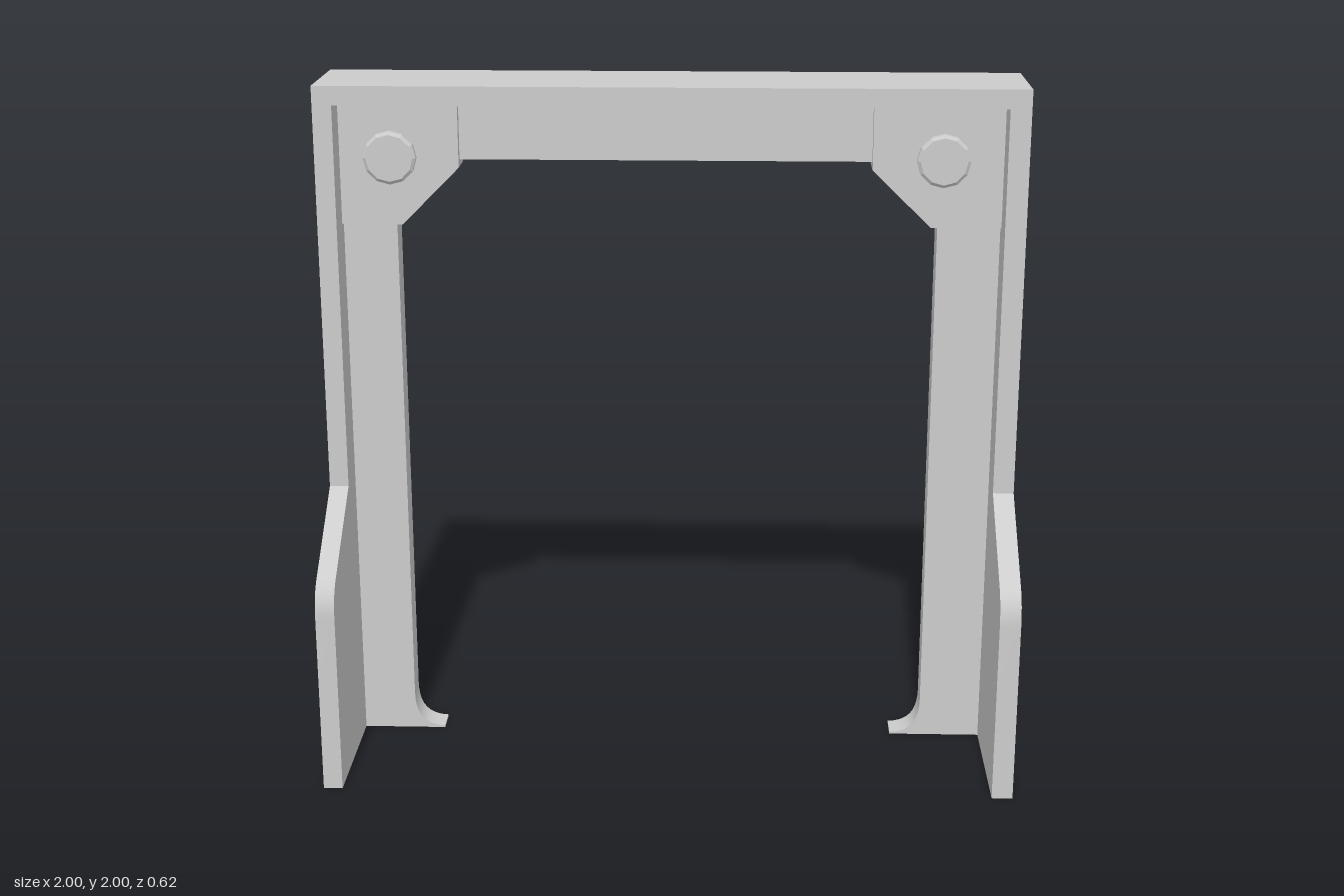
import * as THREE from 'three';
import { toCreasedNormals } from 'three/addons/utils/BufferGeometryUtils.js';

const BACK = -0.31;                          // rear face of the frame
const WEB_BACK = -0.195, WEB_FRONT = -0.115; // web plate inside the frame
const GUSSET_FRONT = -0.09;

// Inner dimensions of the two slightly different sides (s = side sign)
const SIDES = [
  { name: 'right', s: -1, wall: 0.945, web: 0.79, gusset: 0.605, heel: 0.77, bolt: 0.80 },
  { name: 'left', s: 1, wall: 0.94, web: 0.76, gusset: 0.57, heel: 0.74, bolt: 0.77 },
];

export function createModel() {
  const group = new THREE.Group();
  const material = new THREE.MeshStandardMaterial({ color: 0xcccccc });

  const add = (name, geometry) => {
    const mesh = new THREE.Mesh(geometry, material);
    mesh.name = name;
    group.add(mesh);
    return mesh;
  };
  const extrude = (shape, depth) => toCreasedNormals(
    new THREE.ExtrudeGeometry(shape, { depth, bevelEnabled: false, curveSegments: 10 }), 0.5);
  const polygon = (points) => new THREE.Shape(points.map(([x, y]) => new THREE.Vector2(x, y)));

  const [R, L] = SIDES;

  // Outer frame: an upside-down U
  add('outerFrame', extrude(polygon([
    [-1, 0], [-R.wall, 0], [-R.wall, 1.945], [L.wall, 1.945],
    [L.wall, 0], [1, 0], [1, 2], [-1, 2],
  ]), -BACK).translate(0, 0, BACK));

  // Web plate with flared feet and chamfered upper corners
  const web = new THREE.Shape();
  web.moveTo(-R.wall, 0);
  web.lineTo(-R.web + 0.09, 0);
  web.lineTo(-R.web + 0.09, 0.006);
  web.bezierCurveTo(-R.web + 0.03, 0.008, -R.web, 0.04, -R.web, 0.115);
  web.lineTo(-R.web, 1.59);
  web.lineTo(-R.heel, 1.59);
  web.lineTo(-R.gusset, 1.755);
  web.lineTo(-R.gusset, 1.775);
  web.lineTo(L.gusset, 1.775);
  web.lineTo(L.gusset, 1.755);
  web.lineTo(L.heel, 1.59);
  web.lineTo(L.web, 1.59);
  web.lineTo(L.web, 0.115);
  web.bezierCurveTo(L.web, 0.04, L.web - 0.03, 0.008, L.web - 0.09, 0.006);
  web.lineTo(L.web - 0.09, 0);
  web.lineTo(L.wall, 0);
  web.lineTo(L.wall, 1.945);
  web.lineTo(-R.wall, 1.945);
  add('webPlate', extrude(web, WEB_FRONT - WEB_BACK).translate(0, 0, WEB_BACK));

  // Side wing profile, drawn in z and y
  const wing = new THREE.Shape();
  wing.moveTo(0, 0);
  wing.lineTo(0.31, 0);
  wing.lineTo(0.31, 0.53);
  wing.quadraticCurveTo(0.31, 0.6, 0.265, 0.633);
  wing.lineTo(0, 0.825);

  for (const d of SIDES) {
    // Wing standing forward of the leg
    const wingGeometry = extrude(wing, 1 - d.wall).rotateY(-Math.PI / 2);
    add(d.name + 'Wing', wingGeometry.translate(d.s > 0 ? 1 : -d.wall, 0, 0));

    // Raised corner gusset
    add(d.name + 'Gusset', extrude(polygon([
      [d.s * d.wall, 1.945], [d.s * d.wall, 1.59], [d.s * d.heel, 1.59],
      [d.s * d.gusset, 1.755], [d.s * d.gusset, 1.945],
    ]), GUSSET_FRONT - WEB_FRONT).translate(0, 0, WEB_FRONT));

    // Bolt head with a small chamfer
    const profile = [[0.076, 0], [0.076, 0.018], [0.067, 0.025], [0, 0.025]]
      .map(([r, h]) => new THREE.Vector2(r, h));
    const bolt = toCreasedNormals(new THREE.LatheGeometry(profile, 12), 0.3).rotateX(Math.PI / 2);
    add(d.name + 'Bolt', bolt.translate(d.s * d.bolt, 1.785, GUSSET_FRONT));
  }

  return group;
}
